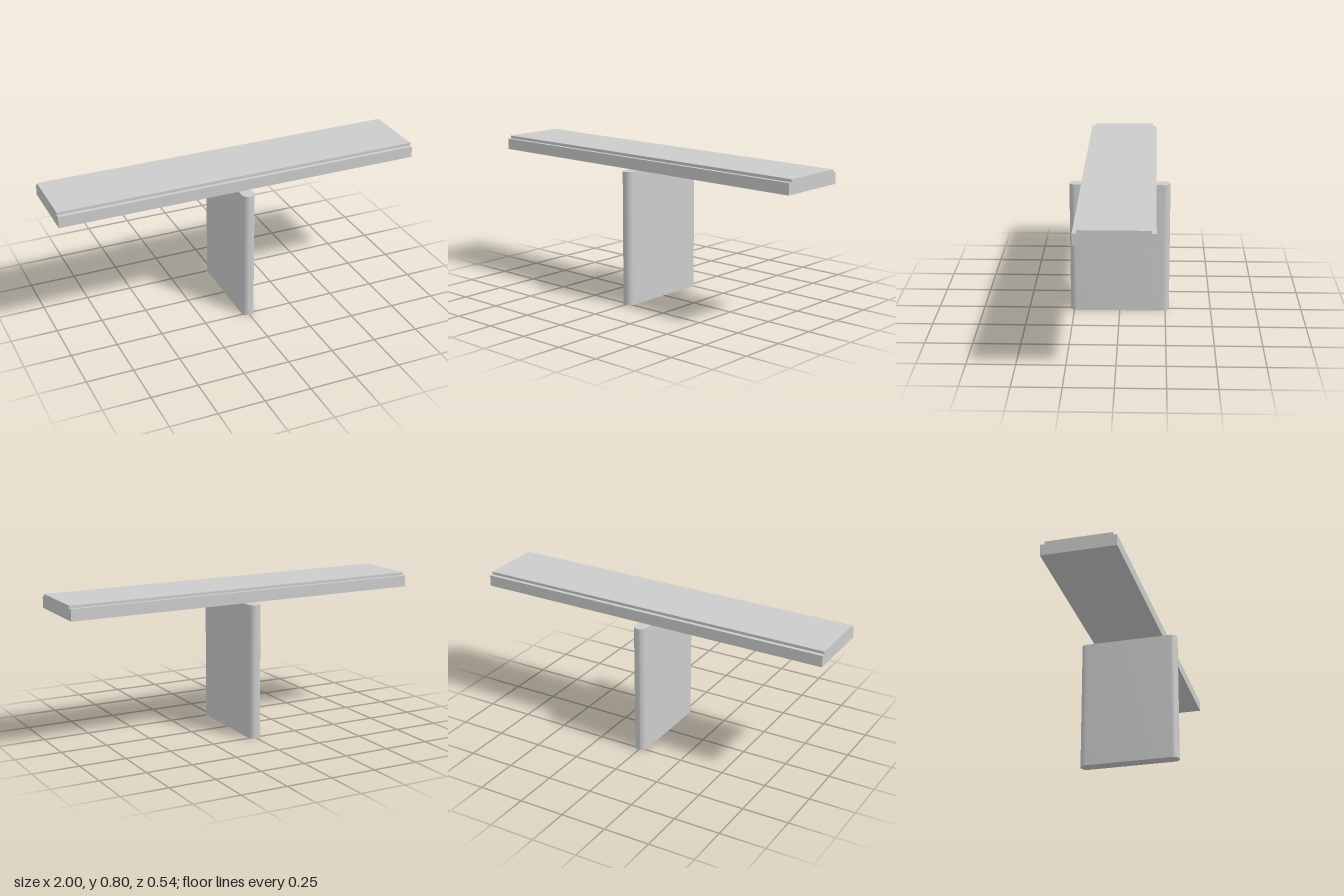
import * as THREE from 'three';
import { toCreasedNormals } from 'three/addons/utils/BufferGeometryUtils.js';

const material = new THREE.MeshStandardMaterial({ color: 0xcccccc });

function addPart(group, name, geometry) {
  const mesh = new THREE.Mesh(geometry, material);
  mesh.name = name;
  group.add(mesh);
}

export function createModel() {
  const group = new THREE.Group();
  const seatY = 0.722; // top of pier, underside of deck

  // Deck: stepped cross-section swept along x
  const half = [[0.195, seatY], [0.195, 0.783], [0.174, 0.783], [0.174, 0.798]];
  const mirrored = half.map(([z, y]) => [-z, y]).reverse();
  const section = new THREE.Shape([...half, ...mirrored].map(([z, y]) => new THREE.Vector2(z, y)));
  const deck = new THREE.ExtrudeGeometry(section, { depth: 2, bevelEnabled: false });
  deck.translate(0, 0, -1).rotateY(Math.PI / 2);
  addPart(group, 'bridgeDeck', deck);

  // Pier: upright wall with half-round noses front and back
  const r = 0.034, straight = 0.271 - r;
  const plan = new THREE.Shape();
  plan.absarc(0, straight, r, 0, Math.PI, false);
  plan.absarc(0, -straight, r, Math.PI, Math.PI * 2, false);
  plan.closePath();
  const pier = new THREE.ExtrudeGeometry(plan, { depth: seatY, bevelEnabled: false, curveSegments: 12 });
  pier.rotateX(-Math.PI / 2);
  addPart(group, 'pier', toCreasedNormals(pier, 0.6));

  return group;
}
